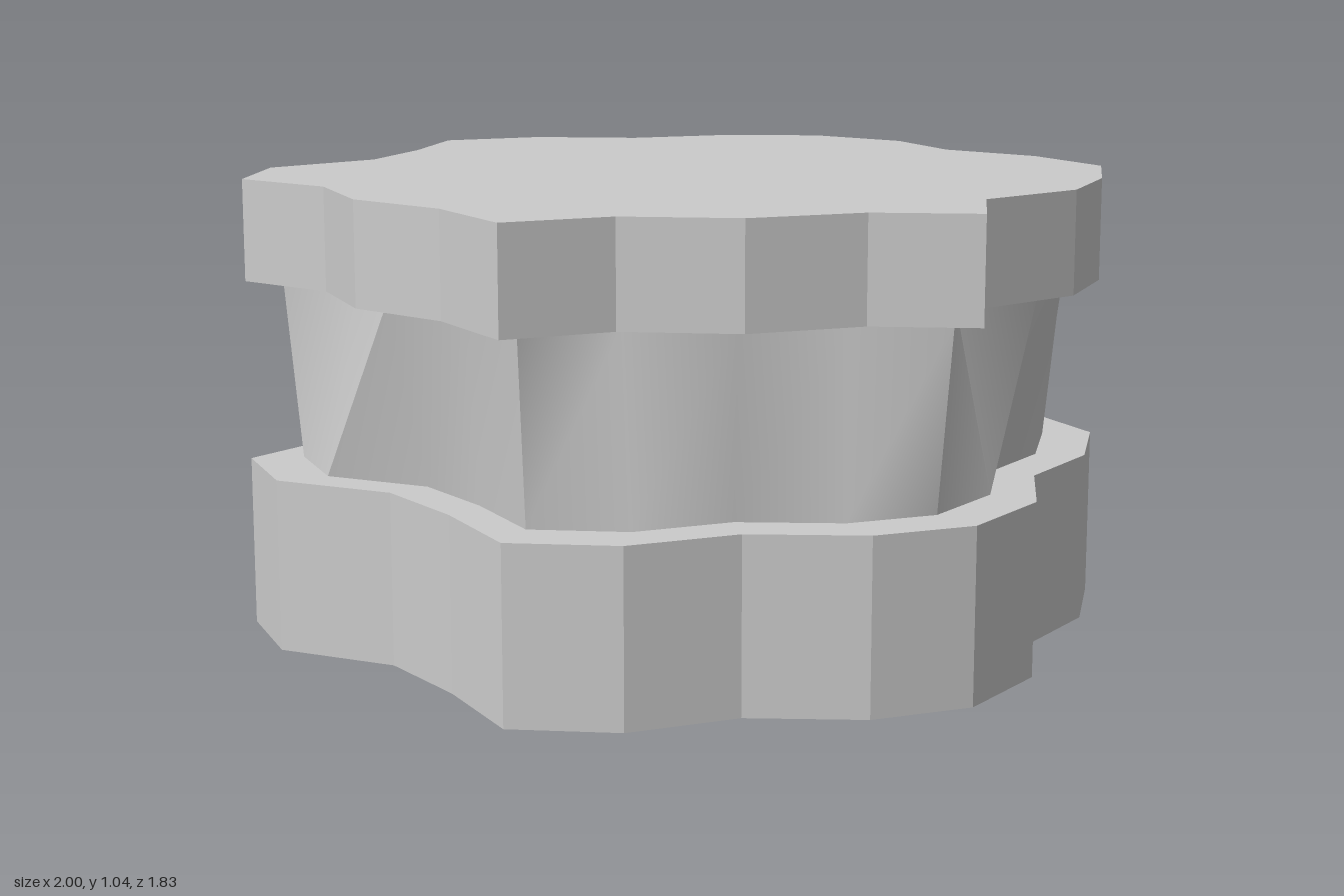
import * as THREE from 'three';
import { toCreasedNormals } from 'three/addons/utils/BufferGeometryUtils.js';

// Wavy six-sided outline of the upper plate as [x, z], four steps per side,
// running from the left corner (+x) round the front.
const upperOutline = [
  [1, 0.01], [0.92, 0.27], [0.795, 0.485], [0.555, 0.63],
  [0.49, 0.875], [0.26, 0.82], [0, 0.875], [-0.25, 0.81],
  [-0.49, 0.875], [-0.59, 0.63], [-0.76, 0.44], [-0.82, 0.19],
  [-1, 0.01], [-0.94, -0.23], [-0.695, -0.385], [-0.58, -0.605],
  [-0.49, -0.855], [-0.25, -0.915], [0, -0.855], [0.26, -0.905],
  [0.49, -0.855], [0.67, -0.67], [0.735, -0.425], [0.91, -0.235],
];
const count = upperOutline.length;

// The lower plate is the same outline turned over front to back.
const lowerOutline = upperOutline.map((_, i) => {
  const [x, z] = upperOutline[(count - i) % count];
  return [x, -z];
});

function plate(name, outline, y0, y1, material) {
  const shape = new THREE.Shape(outline.map(([x, z]) => new THREE.Vector2(x, -z)));
  const geometry = new THREE.ExtrudeGeometry(shape, { depth: y1 - y0, bevelEnabled: false });
  geometry.rotateX(-Math.PI / 2).translate(0, y0, 0);
  const mesh = new THREE.Mesh(geometry, material);
  mesh.name = name;
  return mesh;
}

// Wall joining two matching outlines at different heights and scales
function loft(name, lower, upper, y0, y1, s0, s1, material) {
  const positions = [];
  const index = [];
  lower.forEach(([x, z]) => positions.push(x * s0, y0, z * s0));
  upper.forEach(([x, z]) => positions.push(x * s1, y1, z * s1));
  for (let i = 0; i < count; i++) {
    const j = (i + 1) % count;
    index.push(j, i, count + i, j, count + i, count + j);
  }
  const geometry = new THREE.BufferGeometry();
  geometry.setAttribute('position', new THREE.Float32BufferAttribute(positions, 3));
  geometry.setIndex(index);
  const mesh = new THREE.Mesh(toCreasedNormals(geometry, Math.PI / 5), material);
  mesh.name = name;
  return mesh;
}

export function createModel() {
  const group = new THREE.Group();
  group.name = 'wavyHexPedestal';
  const material = new THREE.MeshStandardMaterial({ color: 0xcccccc });

  // Thick base, recessed twisting waist, thinner top plate
  group.add(plate('basePlate', lowerOutline, 0, 0.39, material));
  group.add(loft('waist', lowerOutline, upperOutline, 0.39, 0.805, 0.88, 0.915, material));
  group.add(plate('topPlate', upperOutline, 0.805, 1.037, material));
  return group;
}
